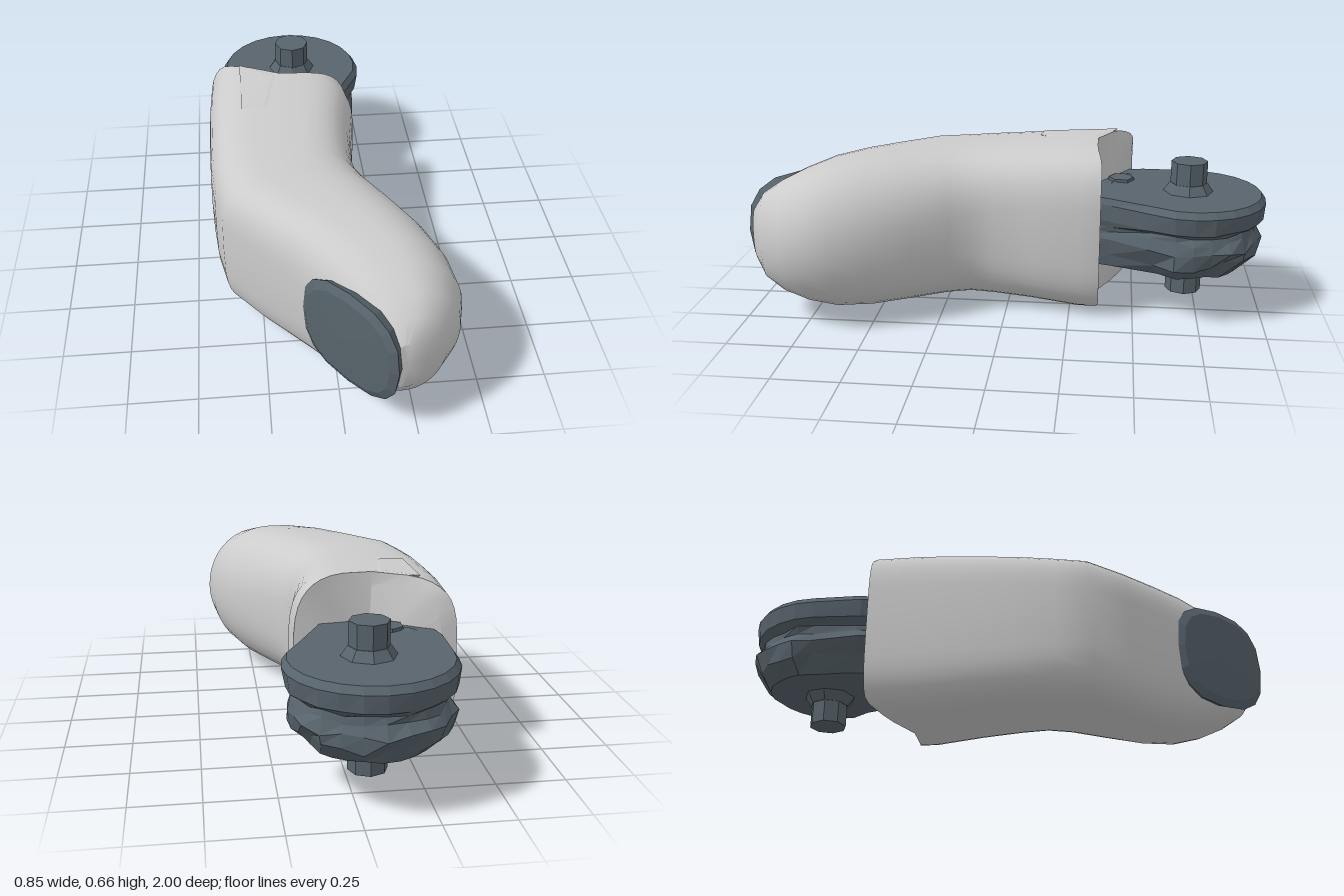
import * as THREE from 'three';
import { toCreasedNormals } from 'three/addons/utils/BufferGeometryUtils.js';
import { ConvexGeometry } from 'three/addons/geometries/ConvexGeometry.js';

const V = (x, y, z) => new THREE.Vector3(x, y, z);
const MID = 0.333; // height of the centre line

// Skin a list of equal-length rings (closed around, open along)
function loft(rings) {
  const n = rings[0].length, index = [];
  for (let i = 0; i < rings.length - 1; i++) {
    for (let j = 0; j < n; j++) {
      const a = i * n + j, b = i * n + (j + 1) % n;
      index.push(a, b, b + n, a, b + n, a + n);
    }
  }
  const geo = new THREE.BufferGeometry().setFromPoints(rings.flat());
  geo.setIndex(index);
  geo.computeVertexNormals();
  return geo;
}

// Rounded-box section between a left and a right edge point
function section([lx, lz, rx, rz, h, nl, nr], inset = 0, n = 40) {
  const ring = [], half = (rx - lx) / 2;
  for (let j = 0; j < n; j++) {
    const a = (j / n) * Math.PI * 2, c = Math.cos(a), s = Math.sin(a);
    const e = 2 / (c < 0 ? nl : nr);
    const u = Math.sign(c) * Math.abs(c) ** e, v = Math.sign(s) * Math.abs(s) ** e;
    ring.push(V((lx + rx) / 2 + (half - inset) * u, MID + (h - inset) * v, (lz + rz) / 2 + (rz - lz) / 2 * u));
  }
  return ring;
}

// Back face: long wall on one side, scooped down towards the other
function scoop(p) {
  const wall = THREE.MathUtils.clamp((-0.13 - p.x) / 0.22, 0, 1);
  const corner = THREE.MathUtils.smoothstep(Math.abs(p.y - MID), 0.27, 0.33);
  p.z = -0.345 - (0.14 - 0.03 * corner) * wall - 0.02 * THREE.MathUtils.clamp(p.x / 0.1, 0, 1);
  return p;
}

export function createModel() {
  const model = new THREE.Group();
  const grey = new THREE.MeshStandardMaterial({ color: 0xcccccc });
  const dark = new THREE.MeshStandardMaterial({ color: 0x58646c, flatShading: true });
  const add = (name, geo, mat) => {
    const mesh = new THREE.Mesh(geo, mat);
    mesh.name = name;
    model.add(mesh);
    return mesh;
  };

  // Bent shell: left x, z, right x, z, half height, squareness left and right
  const rows = [
    [-0.415, -0.34, 0.155, -0.34, 0.33, 4.2, 3.6],
    [-0.425, -0.29, 0.166, -0.29, 0.328, 4.2, 3.6],
    [-0.425, -0.1, 0.135, -0.1, 0.315, 4.2, 3.4],
    [-0.423, 0.06, 0.13, 0.05, 0.304, 4.2, 3.2],
    [-0.41, 0.21, 0.145, 0.13, 0.298, 4, 2.9],
    [-0.385, 0.335, 0.19, 0.21, 0.297, 4, 2.7],
    [-0.28, 0.47, 0.28, 0.34, 0.297, 3.8, 2.4],
    [-0.18, 0.58, 0.36, 0.48, 0.297, 3.6, 2.2],
    [-0.09, 0.69, 0.41, 0.61, 0.284, 3.4, 2.1],
    [-0.01, 0.79, 0.426, 0.71, 0.252, 3.2, 2],
    [0.05, 0.87, 0.4, 0.81, 0.212, 3, 2],
    [0.1, 0.935, 0.34, 0.895, 0.165, 2.6, 2],
    [0.135, 0.97, 0.26, 0.95, 0.1, 2.2, 2],
  ];
  const shell = loft([
    section(rows[0]).map(() => scoop(V(-0.12, MID, 0))),
    section(rows[0], 0.055).map(scoop),
    section(rows[0]).map(scoop),
    ...rows.slice(1).map((r) => section(r)),
    section(rows[0]).map(() => V(0.2, MID, 0.968)),
  ]);
  add('shell', toCreasedNormals(shell, 0.5), grey);

  // Creased fold on top beside the rim
  add('rimFold', new ConvexGeometry([
    V(-0.29, 0.648, -0.12), V(-0.21, 0.65, -0.11), V(-0.06, 0.65, -0.31), V(-0.29, 0.664, -0.42),
    V(-0.16, 0.664, -0.33), V(-0.2, 0.6, -0.2), V(-0.25, 0.6, -0.35),
  ]), new THREE.MeshStandardMaterial({ color: 0xcccccc, flatShading: true }));

  // Finger pad lying on the slanted inner face
  const padRing = (z, inset) => section([-0.225, z, 0.225, z, 0.205, 2.6, 2.6], inset, 16);
  const pad = add('pad', loft([
    padRing(-0.04, 0.02), padRing(0, 0), padRing(0.014, 0.03),
    padRing(0, 0).map(() => V(0, MID, 0.02)),
  ]), dark);
  pad.geometry.applyMatrix4(new THREE.Matrix4().makeBasis(V(0.63, 0, 0.777), V(0, 1, 0), V(-0.777, 0, 0.63)));
  pad.position.set(0.022, 0, 0.824);

  // Hinge knuckle: round hub tapering into the shell, with a groove and a rough underside
  const hub = [-0.065, -0.71];
  const outline = [[-0.15, -0.3], [0.04, -0.3], [0.09, -0.4], [0.17, -0.54]];
  for (let i = 0; i <= 13; i++) {
    const a = THREE.MathUtils.degToRad(76 + i * 15);
    outline.push([hub[0] + 0.297 * Math.sin(a), hub[1] + 0.29 * Math.cos(a)]);
  }
  outline.push([-0.365, -0.52], [-0.32, -0.36]);
  let seed = 7;
  const rnd = () => (seed = (seed * 16807) % 2147483647) / 2147483647 - 0.5;
  const ringAt = (y, s, rough) => outline.map(([x, z]) => {
    const k = s + rnd() * rough;
    return V(hub[0] + (x - hub[0]) * k, y + rnd() * rough * 0.25, hub[1] + (z - hub[1]) * (z > -0.5 ? 1 : k));
  });
  add('knuckle', loft([
    ringAt(0.19, 0, 0), ringAt(0.195, 0.72, 0.06), ringAt(0.25, 0.88, 0.14), ringAt(0.305, 0.96, 0.08),
    ringAt(0.345, 0.88, 0.08), ringAt(0.37, 0.88, 0.05), ringAt(0.39, 0.97, 0.03),
    ringAt(0.455, 1, 0), ringAt(0.48, 0.94, 0), ringAt(0.48, 0, 0),
  ]), dark);

  // Axle stubs with flared collars, above and below
  for (const side of [1, -1]) {
    const stub = new THREE.Group();
    stub.name = side > 0 ? 'upperAxle' : 'lowerAxle';
    const pin = new THREE.Mesh(new THREE.CylinderGeometry(0.07, 0.07, 0.16, 8), dark);
    pin.name = 'pin';
    pin.position.y = 0.185;
    const collar = new THREE.Mesh(new THREE.CylinderGeometry(0.072, 0.1, 0.04, 8), dark);
    collar.name = 'collar';
    collar.position.y = 0.16;
    stub.add(pin, collar);
    stub.position.set(-0.06, 0.335, -0.7);
    if (side < 0) stub.rotation.x = Math.PI;
    model.add(stub);
  }

  // Small latch sunk into the top of the knuckle
  const bar = add('latchBar', new THREE.CapsuleGeometry(0.035, 0.15, 2, 8), dark);
  bar.rotation.set(0, -0.45, Math.PI / 2);
  bar.position.set(-0.19, 0.452, -0.44);
  add('latchPeg', new THREE.CylinderGeometry(0.05, 0.055, 0.06, 6), dark).position.set(-0.18, 0.462, -0.44);

  return model;
}
